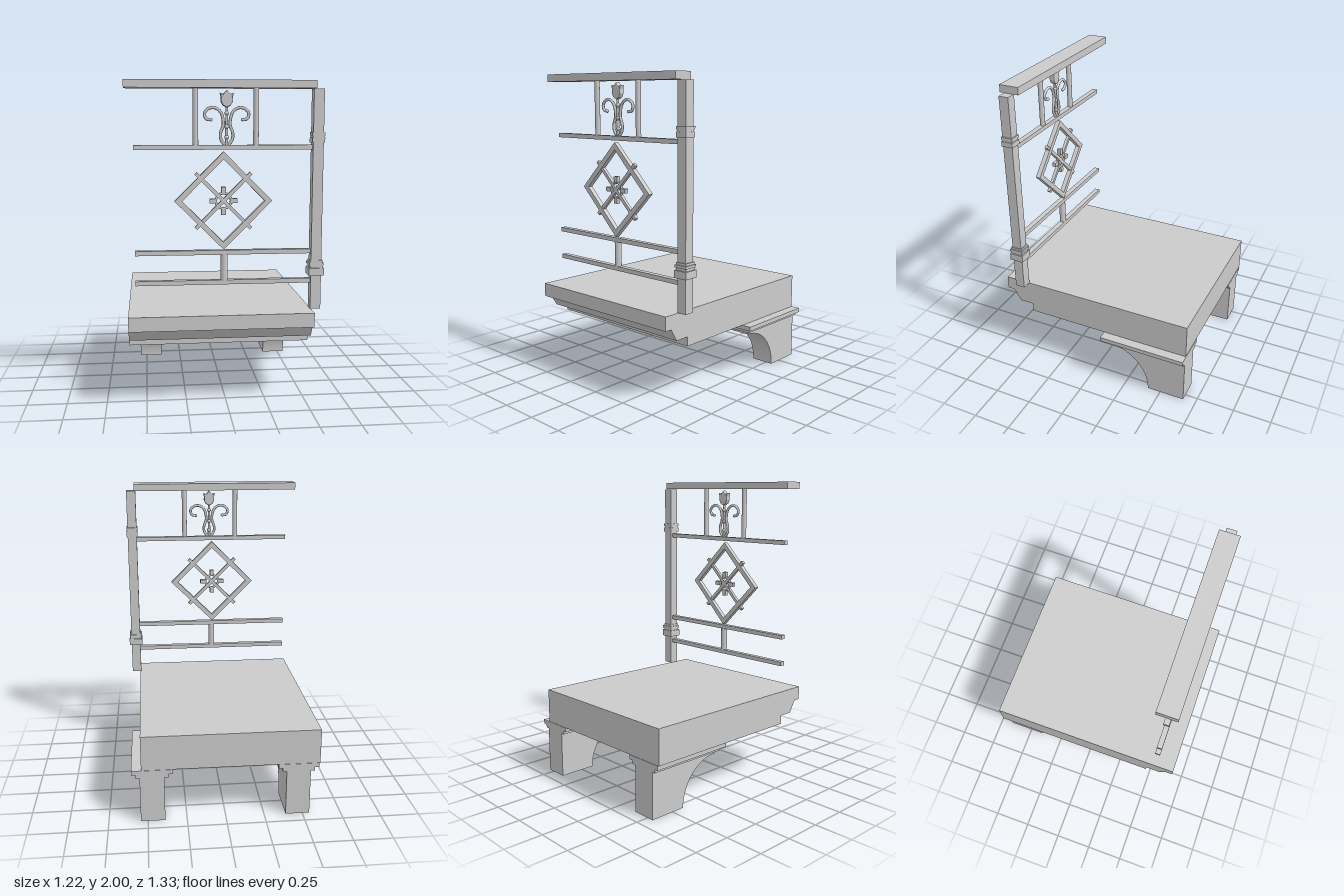
import * as THREE from 'three';

const mat = new THREE.MeshStandardMaterial({ color: 0xcccccc });
const RAIL_Z = 0.525;

function add(parent, name, geometry, x = 0, y = 0, z = 0) {
  const mesh = new THREE.Mesh(geometry, mat);
  mesh.name = name;
  mesh.position.set(x, y, z);
  parent.add(mesh);
  return mesh;
}

// Box given by its lower and upper limits on each axis
function span(parent, name, [x0, x1], [y0, y1], [z0, z1]) {
  return add(parent, name, new THREE.BoxGeometry(x1 - x0, y1 - y0, z1 - z0),
    (x0 + x1) / 2, (y0 + y1) / 2, (z0 + z1) / 2);
}

// Side profile drawn in (z, y), extruded across x and centred on x = 0
function sideExtrude(shape, width) {
  return new THREE.ExtrudeGeometry(shape, { depth: width, bevelEnabled: false, curveSegments: 20 })
    .translate(0, 0, -width / 2).rotateY(-Math.PI / 2);
}

function outline(points) {
  return new THREE.Shape(points.map(([x, y]) => new THREE.Vector2(x, y)));
}

// Slab with a stepped, chamfered nose
function buildSlab(g) {
  const shape = outline([[-0.665, 0.36], [0.473, 0.36], [0.473, 0.42], [0.57, 0.42],
    [0.618, 0.5], [0.665, 0.5], [0.665, 0.59], [-0.665, 0.59]]);
  add(g, 'slab', sideExtrude(shape, 1.14), -0.035);
}

// Supporting bracket with a concave front and two cap plates
function buildBracket(g, x) {
  const bracket = new THREE.Group();
  bracket.name = 'bracket';
  bracket.position.x = x;
  const shape = new THREE.Shape();
  shape.moveTo(-0.665, 0);
  shape.lineTo(-0.41, 0);
  shape.absellipse(-0.13, 0, 0.28, 0.286, Math.PI, Math.PI / 2, true);
  shape.lineTo(-0.13, 0.308);
  shape.lineTo(-0.665, 0.308);
  add(bracket, 'bracketBody', sideExtrude(shape, 0.156));
  span(bracket, 'lowerCap', [-0.103, 0.103], [0.307, 0.331], [-0.666, -0.105]);
  span(bracket, 'upperCap', [-0.13, 0.13], [0.331, 0.36], [-0.668, -0.08]);
  g.add(bracket);
}

// Square newel post with two moulded collars
function buildPost(g) {
  const post = new THREE.Group();
  post.name = 'newelPost';
  post.position.set(0.562, 0, RAIL_Z);
  const block = (name, w, y0, y1) =>
    span(post, name, [-w / 2, w / 2], [y0, y1], [-w / 2, w / 2]);
  block('postShaft', 0.065, 0.59, 1.95);
  block('lowerCollar', 0.094, 0.805, 0.852);
  block('lowerCollarNeck', 0.078, 0.852, 0.868);
  block('lowerCollarTop', 0.09, 0.868, 0.885);
  block('lowerCollarCap', 0.078, 0.885, 0.9);
  block('upperCollar', 0.078, 1.628, 1.66);
  block('upperCollarNeck', 0.07, 1.66, 1.672);
  block('upperCollarCap', 0.078, 1.672, 1.69);
  g.add(post);
}

// Handrail, horizontal rails and upright spindles
function buildRails(g) {
  span(g, 'handrail', [-0.612, 0.54], [1.952, 2], [0.455, 0.585]);
  for (const y of [0.77, 0.957, 1.601])
    span(g, 'rail', [-0.56, 0.535], [y - 0.014, y + 0.014], [RAIL_Z - 0.018, RAIL_Z + 0.018]);
  const spindle = (x, y0, y1, r) =>
    add(g, 'spindle', new THREE.CylinderGeometry(r, r, y1 - y0, 12), x, (y0 + y1) / 2, RAIL_Z);
  spindle(-0.186, 1.61, 1.955, 0.017);
  spindle(0.182, 1.61, 1.955, 0.017);
  spindle(-0.012, 0.78, 0.945, 0.022);
}

// Diamond frame with crossed bars, ring and four lugs
function buildDiamond(g) {
  const diamond = new THREE.Group();
  diamond.name = 'diamondPanel';
  diamond.position.set(-0.016, 1.275, RAIL_Z);
  const square = (r) => [[r, 0], [0, r], [-r, 0], [0, -r]];
  const frame = outline(square(0.3));
  frame.holes.push(outline(square(0.254).reverse()));
  add(diamond, 'diamondFrame', new THREE.ExtrudeGeometry(frame, { depth: 0.032, bevelEnabled: false }),
    0, 0, -0.016);
  for (const s of [-1, 1])
    add(diamond, 'crossBar', new THREE.BoxGeometry(0.48, 0.022, 0.022)).rotation.z = s * Math.PI / 4;
  add(diamond, 'ring', new THREE.TorusGeometry(0.047, 0.008, 8, 28));
  for (let i = 0; i < 4; i++) {
    const a = i * Math.PI / 2;
    const lug = add(diamond, 'ringLug', new THREE.BoxGeometry(0.04, 0.028, 0.026),
      0.066 * Math.cos(a), 0.066 * Math.sin(a), 0);
    lug.rotation.z = a;
  }
  g.add(diamond);
}

// Flower on a beaded stem between mirrored scrolls
function buildFlower(g) {
  const flower = new THREE.Group();
  flower.name = 'flowerOrnament';
  flower.position.set(0.003, 0, RAIL_Z);
  add(flower, 'stem', new THREE.CylinderGeometry(0.008, 0.01, 0.24, 10), 0, 1.73, 0);
  for (const y of [1.66, 1.725, 1.805])
    add(flower, 'stemBead', new THREE.SphereGeometry(0.014, 12, 8), 0, y, 0);

  const bloom = outline([[0, 1.838], [0.024, 1.85], [0.037, 1.875], [0.036, 1.9], [0.042, 1.925],
    [0.022, 1.918], [0, 1.942], [-0.022, 1.918], [-0.042, 1.925], [-0.036, 1.9],
    [-0.037, 1.875], [-0.024, 1.85]]);
  add(flower, 'bloom', new THREE.ExtrudeGeometry(bloom, {
    depth: 0.02, bevelThickness: 0.008, bevelSize: 0.006, bevelOffset: -0.006, bevelSegments: 2,
  }), 0, 0, -0.01);

  const path = [[0.012, 1.615], [0.035, 1.65], [0.036, 1.69], [0.022, 1.73], [0.022, 1.765],
    [0.036, 1.81], [0.07, 1.836], [0.11, 1.832], [0.134, 1.803], [0.124, 1.772], [0.096, 1.766]];
  for (const s of [-1, 1]) {
    const curve = new THREE.CatmullRomCurve3(path.map(([x, y]) => new THREE.Vector3(s * x, y, 0)));
    add(flower, 'scroll', new THREE.TubeGeometry(curve, 60, 0.0095, 8));
    add(flower, 'scrollTip', new THREE.SphereGeometry(0.0105, 10, 8), s * 0.096, 1.766, 0);
  }
  g.add(flower);
}

export function createModel() {
  const g = new THREE.Group();
  g.name = 'balconyStep';
  buildSlab(g);
  for (const s of [-1, 1]) buildBracket(g, s * 0.468);
  buildPost(g);
  buildRails(g);
  buildDiamond(g);
  buildFlower(g);
  return g;
}
